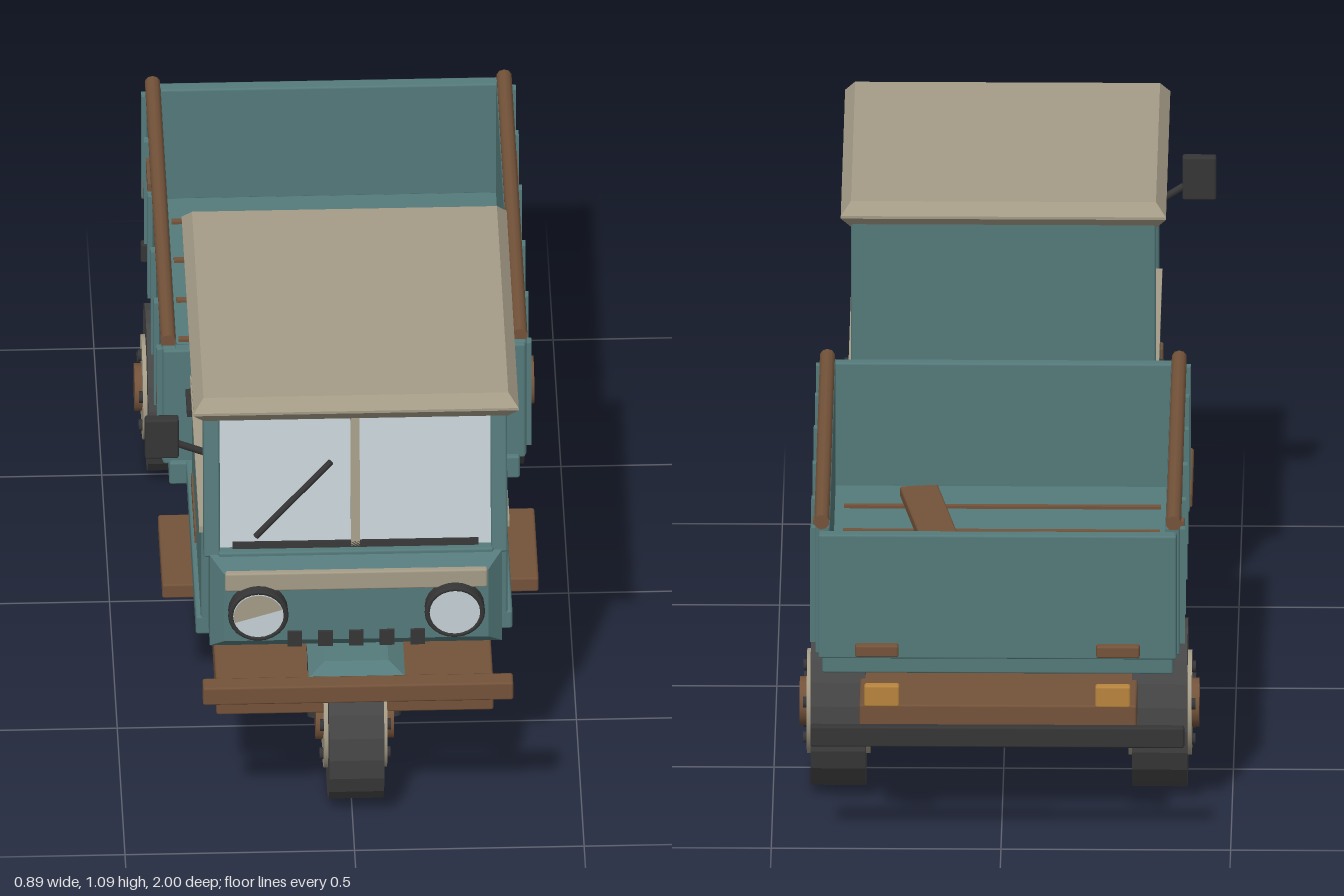
import * as THREE from 'three';
import { RoundedBoxGeometry } from 'three/addons/geometries/RoundedBoxGeometry.js';

const paint = (name, color) => {
  const m = new THREE.MeshStandardMaterial({ color });
  m.name = name;
  return m;
};

export function createModel() {
  const teal = paint('teal paint', 0x557a7b);
  const cream = paint('cream paint', 0xa59c87);
  const wood = paint('brown wood', 0x74533a);
  const dark = paint('dark metal', 0x363637);
  const rubber = paint('tyre rubber', 0x454545);
  const glass = paint('pale glass', 0xc6d1d6);
  const amber = paint('amber lens', 0xb9853f);

  const model = new THREE.Group();
  model.name = 'threeWheelTruck';
  const body = new THREE.Group();
  body.name = 'truckBody';
  body.position.x = 0.008;
  model.add(body);

  const add = (name, mat, geo, x = 0, y = 0, z = 0, parent = body) => {
    const mesh = new THREE.Mesh(geo, mat);
    mesh.name = name;
    mesh.position.set(x, y, z);
    parent.add(mesh);
    return mesh;
  };
  // Box given by its limits; thicker ones get a small chamfer
  const box = (name, mat, x0, x1, y0, y1, z0, z1, parent = body) => {
    const w = x1 - x0, h = y1 - y0, d = z1 - z0;
    const geo = Math.min(w, h, d) > 0.02
      ? new RoundedBoxGeometry(w, h, d, 1, 0.005) : new THREE.BoxGeometry(w, h, d);
    return add(name, mat, geo, (x0 + x1) / 2, (y0 + y1) / 2, (z0 + z1) / 2, parent);
  };
  const pair = (name, mat, x0, x1, ...r) => {
    box(name + 'Left', mat, x0, x1, ...r);
    box(name + 'Right', mat, -x1, -x0, ...r);
  };
  // Block with a bevelled rim at both ends of its depth
  const bevelled = (w, h, depth, size, thick) => {
    const a = w / 2 - size, b = h / 2 - size;
    const s = new THREE.Shape([[-a, -b], [a, -b], [a, b], [-a, b]].map(p => new THREE.Vector2(...p)));
    return new THREE.ExtrudeGeometry(s, { depth: depth - 2 * thick, bevelEnabled: true,
      bevelSize: size, bevelThickness: thick, bevelSegments: 1 }).translate(0, 0, thick - depth / 2);
  };
  const rod = (name, mat, a, b, r, sides = 10, parent = body) => {
    const p = new THREE.Vector3(...a), q = new THREE.Vector3(...b), d = q.clone().sub(p);
    const m = add(name, mat, new THREE.CylinderGeometry(r, r, d.length(), sides), 0, 0, 0, parent);
    m.position.copy(p).lerp(q, 0.5);
    m.quaternion.setFromUnitVectors(new THREE.Vector3(0, 1, 0), d.normalize());
    return m;
  };

  // Wheels
  const wheel = (name, x, z) => {
    const g = new THREE.Group();
    g.name = name;
    g.position.set(x, 0.185, z);
    body.add(g);
    const disc = (part, mat, r, w, sides, y = 0, zz = 0) => {
      let geo = new THREE.CylinderGeometry(r, r, w, sides).rotateZ(Math.PI / 2);
      if (mat === rubber) { geo = geo.toNonIndexed(); geo.computeVertexNormals(); }
      add(part, mat, geo, 0, y, zz, g);
    };
    disc('tyre', rubber, 0.184, 0.12, 22);
    disc('rim', cream, 0.115, 0.138, 24);
    disc('hub', wood, 0.053, 0.17, 16);
    for (let i = 0; i < 5; i++) {
      const t = Math.PI / 2 + i * Math.PI * 0.4;
      disc('wheelNut', dark, 0.013, 0.154, 8, Math.sin(t) * 0.083, Math.cos(t) * 0.083);
    }
  };
  wheel('rearWheelLeft', 0.35, -0.57);
  wheel('rearWheelRight', -0.35, -0.57);
  wheel('frontWheel', 0, 0.738);

  // Chassis, axle and front fork
  box('chassisDeck', wood, -0.302, 0.302, 0.226, 0.292, -0.88, 0.794);
  pair('chassisRail', dark, 0.135, 0.175, 0.18, 0.228, -0.83, 0.585);
  rod('rearAxle', dark, [-0.28, 0.187, -0.57], [0.28, 0.187, -0.57], 0.027);
  for (const s of [-1, 1]) rod('forkArm', dark, [s * 0.085, 0.185, 0.738], [s * 0.085, 0.4, 0.695], 0.018);
  box('forkCrown', dark, -0.1, 0.1, 0.375, 0.405, 0.67, 0.72);

  // Mudguard, bumpers, steps and rear lamps
  add('frontMudguard', teal, bevelled(0.21, 0.24, 0.045, 0.035, 0.02).rotateX(-Math.PI / 2), 0, 0.398, 0.798);
  box('frontBumper', wood, -0.338, 0.338, 0.387, 0.432, 0.957, 1);
  box('rearBumper', dark, -0.407, 0.407, 0.238, 0.286, -1, -0.977);
  pair('sideStep', wood, 0.28, 0.41, 0.338, 0.374, 0.22, 0.5);
  pair('rearLamp', amber, 0.213, 0.29, 0.327, 0.377, -0.988, -0.966);

  // Cargo bed
  box('bedBase', teal, -0.382, 0.382, 0.384, 0.44, -0.93, 0.12);
  pair('bedSide', teal, 0.365, 0.397, 0.43, 0.728, -0.935, 0.1);
  box('bedHeadboard', teal, -0.395, 0.395, 0.43, 0.725, 0.08, 0.108);
  box('tailgate', teal, -0.39, 0.39, 0.43, 0.718, -0.963, -0.932);
  pair('tailgateHinge', wood, 0.215, 0.31, 0.44, 0.468, -0.983, -0.96);
  for (const z of [0.085, -0.1, -0.3, -0.52, -0.735, -0.915])
    pair('bedRib', teal, 0.39, 0.408, 0.455, 0.72, z - 0.011, z + 0.011);
  for (const s of [-1, 1]) rod('topRail', wood, [s * 0.383, 0.737, -0.935], [s * 0.383, 0.737, 0.09], 0.017);
  for (const z of [-0.83, -0.677, -0.52, -0.365, -0.206, 0.053 - 0.106])
    box('floorSlat', wood, -0.345, 0.345, 0.438, 0.446, z - 0.007, z + 0.007);
  box('loosePlank', wood, 0.085, 0.17, 0.45, 0.475, -0.718, -0.002).rotation.y = 0.155;
  // Rust patches on the bed sides and doors
  for (const [z0, z1, y] of [[-0.14, -0.02, 0.49], [-0.77, -0.62, 0.665], [-0.895, -0.83, 0.49]])
    pair('bedRustPatch', wood, 0.395, 0.404, y - 0.015, y + 0.015, z0, z1);
  pair('doorRustPatch', wood, 0.332, 0.338, 0.456, 0.486, 0.23, 0.46);

  // Cab shell
  box('cabFloor', teal, -0.345, 0.345, 0.402, 0.448, 0.12, 0.74);
  box('cabBackWall', teal, -0.332, 0.332, 0.44, 1.045, 0.105, 0.14);
  box('rearWindow', glass, -0.18, 0.18, 0.8, 0.98, 0.139, 0.146);
  pair('door', teal, 0.308, 0.334, 0.44, 0.682, 0.17, 0.74);
  pair('doorTrim', cream, 0.303, 0.338, 0.678, 0.694, 0.16, 0.755);
  pair('doorHandle', dark, 0.333, 0.348, 0.652, 0.67, 0.175, 0.26);
  add('roof', cream, bevelled(0.708, 0.78, 0.06, 0.022, 0.027).rotateX(-Math.PI / 2), 0, 1.06, 0.48);

  // Nose with trim, slots and headlights
  add('nose', teal, bevelled(0.636, 0.235, 0.15, 0.03, 0.03), 0, 0.558, 0.797);
  box('cowl', teal, -0.3, 0.3, 0.64, 0.682, 0.72, 0.845);
  box('noseTrim', cream, -0.286, 0.286, 0.603, 0.65, 0.84, 0.88);
  for (let i = -2; i <= 2; i++)
    box('grilleSlot', dark, i * 0.067 - 0.016, i * 0.067 + 0.016, 0.457, 0.495, 0.865, 0.878);
  for (const s of [-1, 1]) {
    const x = s * 0.214;
    rod('headlightBody', dark, [x, 0.553, 0.86], [x, 0.553, 0.896], 0.065, 24);
    add('headlightRing', dark, new THREE.TorusGeometry(0.06, 0.006, 6, 24), x, 0.553, 0.897);
    rod('headlightLens', glass, [x, 0.553, 0.89], [x, 0.553, 0.9], 0.055, 24);
  }
  add('headlightMask', cream, new THREE.CircleGeometry(0.054, 16, 0.3, Math.PI), -0.214, 0.553, 0.902);

  // Raked windscreen with pillars, divider and wiper
  const screen = new THREE.Group();
  screen.name = 'windscreen';
  screen.position.set(0, 0.665, 0.82);
  screen.rotation.x = -0.136;
  body.add(screen);
  for (const s of [-1, 1])
    box('frontPillar', teal, s * 0.313 - 0.018, s * 0.313 + 0.018, 0, 0.385, -0.02, 0.02, screen);
  box('windscreenGlass', glass, -0.296, 0.296, 0.015, 0.38, -0.004, 0.004, screen);
  box('windscreenSeal', dark, -0.268, 0.268, 0.012, 0.03, -0.008, 0.012, screen);
  box('windscreenDivider', cream, -0.01, 0.01, 0.015, 0.38, -0.01, 0.012, screen);
  rod('wiper', dark, [-0.218, 0.05, 0.022], [-0.053, 0.227, 0.022], 0.007, 6, screen);

  // Interior
  box('seatCushion', wood, -0.27, 0.27, 0.45, 0.57, 0.17, 0.44);
  box('seatBack', wood, -0.27, 0.27, 0.55, 0.77, 0.147, 0.205);
  box('dashboard', dark, -0.28, 0.28, 0.645, 0.716, 0.67, 0.77);
  rod('gearLever', dark, [0, 0.45, 0.6], [0, 0.74, 0.575], 0.009, 8);
  add('gearKnob', dark, new THREE.SphereGeometry(0.021, 12, 8), 0, 0.742, 0.575);

  // Wing mirror on the right side
  box('wingMirror', dark, -0.456, -0.382, 0.865, 0.965, 0.72, 0.746);
  rod('mirrorArm', dark, [-0.385, 0.895, 0.73], [-0.322, 0.86, 0.715], 0.008, 8);

  return model;
}
